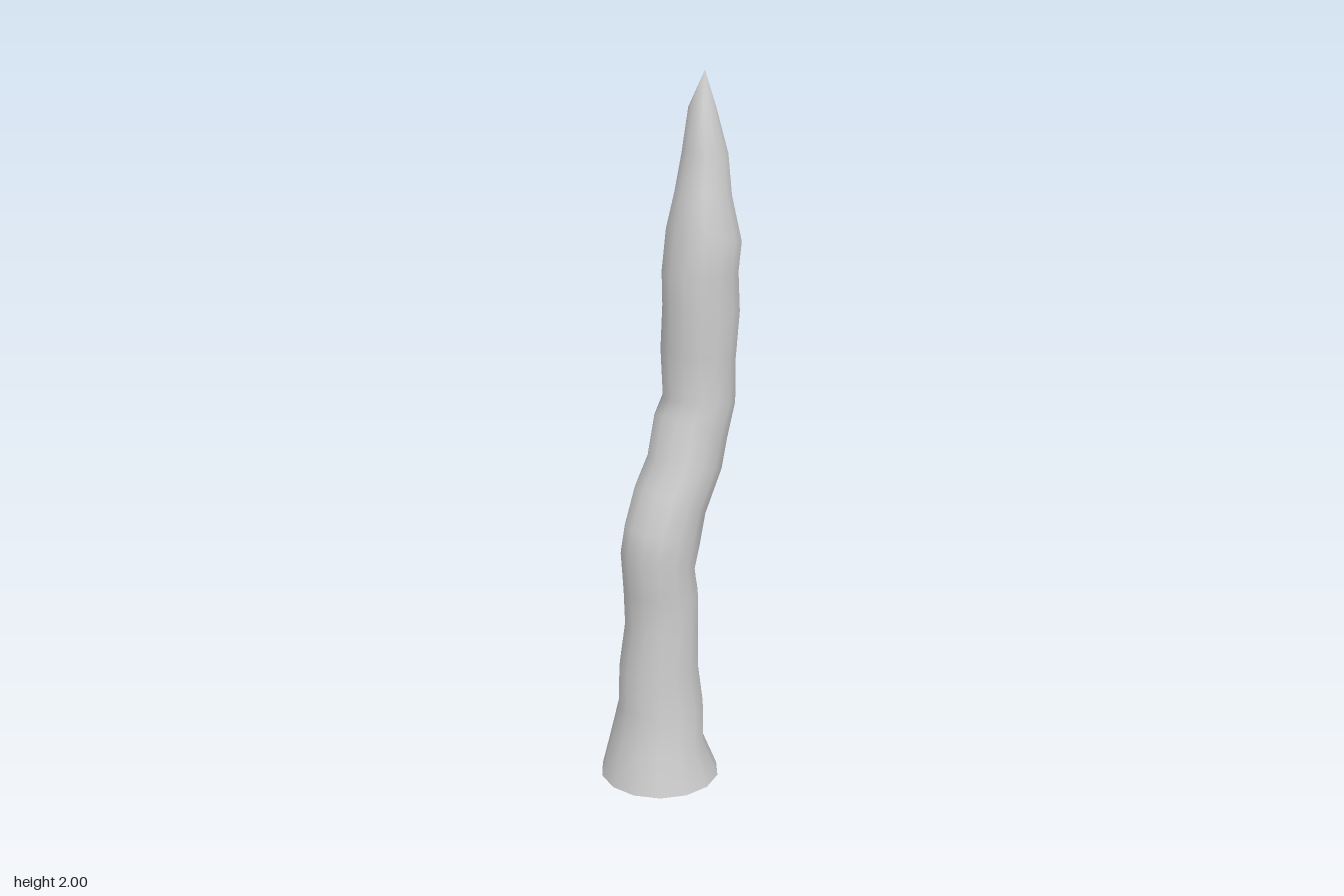
import * as THREE from 'three';

const SIDES = 14;

// Cross-sections from base to tip: left edge x, y, right edge x, y, half depth in z
const RINGS = [
  [-0.22, 0, 0.125, 0, 0.17],
  [-0.194, 0.11, 0.077, 0.11, 0.137],
  [-0.167, 0.217, 0.082, 0.217, 0.122],
  [-0.167, 0.333, 0.066, 0.333, 0.112],
  [-0.145, 0.46, 0.066, 0.45, 0.106],
  [-0.15, 0.57, 0.066, 0.56, 0.105],
  [-0.159, 0.69, 0.053, 0.63, 0.105],
  [-0.145, 0.767, 0.071, 0.69, 0.105],
  [-0.103, 0.878, 0.087, 0.778, 0.105],
  [-0.06, 0.952, 0.15, 0.91, 0.105],
  [-0.034, 1.074, 0.167, 0.984, 0.105],
  [-0.003, 1.116, 0.196, 1.1, 0.105],
  [-0.013, 1.25, 0.198, 1.22, 0.105],
  [-0.007, 1.37, 0.212, 1.355, 0.106],
  [-0.008, 1.46, 0.204, 1.47, 0.106],
  [0.008, 1.587, 0.214, 1.54, 0.105],
  [0.028, 1.68, 0.188, 1.67, 0.077],
  [0.05, 1.783, 0.177, 1.783, 0.063],
  [0.066, 1.905, 0.142, 1.9, 0.038],
];
const TIP = [0.112, 2, 0];

function createSpikeGeometry() {
  const positions = [];
  const indices = [];
  const depthScale = 1 / Math.sin((6 * Math.PI) / SIDES);

  // Tilted elliptical rings following the bent spine
  for (const [lx, ly, rx, ry, depth] of RINGS) {
    for (let i = 0; i < SIDES; i++) {
      const a = (i / SIDES) * Math.PI * 2;
      const t = (Math.cos(a) + 1) / 2;
      positions.push(lx + (rx - lx) * t, ly + (ry - ly) * t, Math.sin(a) * depth * depthScale);
    }
  }
  const tip = positions.length / 3;
  positions.push(...TIP);

  // Skin between rings, closing to a point at the top; the base stays open
  RINGS.forEach((_, r) => {
    for (let i = 0; i < SIDES; i++) {
      const a = r * SIDES + i;
      const b = r * SIDES + ((i + 1) % SIDES);
      if (r === RINGS.length - 1) indices.push(a, tip, b);
      else indices.push(a, a + SIDES, b, b, a + SIDES, b + SIDES);
    }
  });

  const geometry = new THREE.BufferGeometry();
  geometry.setAttribute('position', new THREE.Float32BufferAttribute(positions, 3));
  geometry.setIndex(indices);
  geometry.computeVertexNormals();
  return geometry;
}

export function createModel() {
  const group = new THREE.Group();
  group.name = 'bentSpike';
  const material = new THREE.MeshStandardMaterial({ color: 0xcccccc, side: THREE.DoubleSide });
  const spike = new THREE.Mesh(createSpikeGeometry(), material);
  spike.name = 'spikeShell';
  group.add(spike);
  return group;
}
